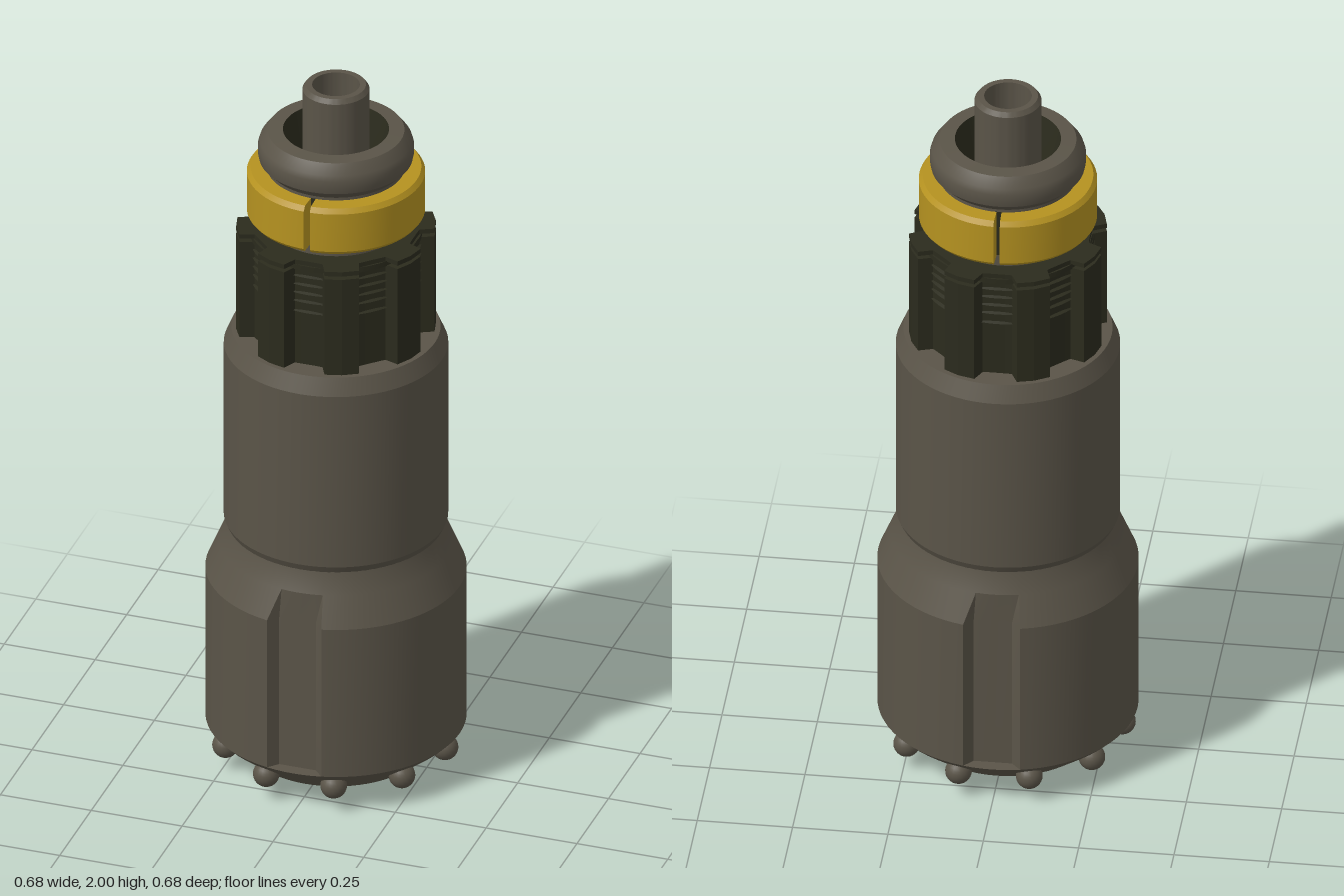
import * as THREE from 'three';
import { toCreasedNormals } from 'three/addons/utils/BufferGeometryUtils.js';

const steel = new THREE.MeshStandardMaterial({ color: 0x5a5448 });
steel.name = 'warm grey steel';
const dark = new THREE.MeshStandardMaterial({ color: 0x2b2b1d });
dark.name = 'dark olive steel';
const yellow = new THREE.MeshStandardMaterial({ color: 0xb59220, side: THREE.DoubleSide });
yellow.name = 'yellow ring';

const DEG = Math.PI / 180;

function range(from, to, steps) {
  return Array.from({ length: steps + 1 }, (_, i) => from + (to - from) * i / steps);
}
const fullTurn = range(0, Math.PI * 2, 72);

// Sweep an [r, y] profile (outside listed upwards) through a list of angles
function turn(profile, angles = fullTurn, rule = null) {
  const pos = [], index = [], m = profile.length;
  angles.forEach((a, i) => profile.forEach(([r, y, cut], j) => {
    const p = new THREE.Vector3(r * Math.sin(a), y, r * Math.cos(a));
    if (rule) rule(p, a, cut);
    pos.push(p.x, p.y, p.z);
    if (i < angles.length - 1 && j < m - 1) {
      const v = i * m + j, w = v + m;
      index.push(v, w, w + 1, v, w + 1, v + 1);
    }
  }));
  const geo = new THREE.BufferGeometry();
  geo.setAttribute('position', new THREE.Float32BufferAttribute(pos, 3));
  geo.setIndex(index);
  return toCreasedNormals(geo, 20 * DEG);
}

export function createModel() {
  const model = new THREE.Group();
  model.name = 'drillHammer';
  const add = (name, geo, mat, parent = model) => {
    const mesh = new THREE.Mesh(geo, mat);
    mesh.name = name;
    parent.add(mesh);
    return mesh;
  };

  // Bit head with a flat-bottomed chip groove at the front and back
  const inner = 8.5 * DEG, outer = 12.7 * DEG, floor = 0.305;
  const half = [
    ...range(-outer, -inner, 1), ...range(-inner, inner, 4).slice(1),
    ...range(outer, Math.PI - outer, 30),
  ];
  const headAngles = [...half, ...half.map(a => a + Math.PI), Math.PI * 2 - outer];
  const groove = (p, a, cut) => {
    const off = Math.abs(Math.asin(Math.sin(a)));
    if (cut && off < inner + 0.001) p.z = Math.sign(p.z) * Math.min(Math.abs(p.z), floor);
  };
  add('bitHead', turn([
    [0.092, 0.035], [0.24, 0.035], [0.32, 0.1], [0.34, 0.12], [0.34, 0.12, true],
    [0.34, 0.56, true], [0.305, 0.643, true], [0.285, 0.69], [0.28, 0.72],
  ], headAngles, groove), steel);

  // Round buttons on the cutting face: ten on the chamfer, six on the flat
  const buttons = new THREE.Group();
  buttons.name = 'cuttingButtons';
  model.add(buttons);
  const ball = new THREE.SphereGeometry(0.035, 20, 14);
  const buttonRing = (name, count, radius, y, start) => {
    for (let i = 0; i < count; i++) {
      const a = start + i * Math.PI * 2 / count;
      add(name, ball, steel, buttons).position.set(radius * Math.sin(a), y, radius * Math.cos(a));
    }
  };
  buttonRing('outerButton', 10, 0.3, 0.073, 18 * DEG);
  buttonRing('innerButton', 6, 0.165, 0.037, 0);

  // Chuck sleeve
  add('sleeve', turn([
    [0.26, 0.7], [0.283, 0.7], [0.292, 0.72], [0.292, 1.23], [0.272, 1.277], [0.2, 1.277],
  ]), steel);

  // Splined shaft: eight teeth
  const spline = new THREE.Shape();
  const hole = new THREE.Path().absarc(0, 0, 0.15, 0, Math.PI * 2, true);
  const corners = [];
  for (let k = 0; k < 8; k++) {
    const c = (22.5 + 45 * k) * DEG;
    for (const [deg, r] of [[-17, 0.217], [-12.5, 0.22], [-10, 0.258], [0, 0.26], [10, 0.258], [12.5, 0.22], [17, 0.217]]) {
      corners.push(new THREE.Vector2(r * Math.cos(c + deg * DEG), r * Math.sin(c + deg * DEG)));
    }
  }
  spline.setFromPoints(corners);
  spline.holes.push(hole);
  const splineSlice = (name, bottom, top) => {
    const geo = new THREE.ExtrudeGeometry(spline, { depth: top - bottom, bevelEnabled: false, curveSegments: 32 });
    geo.rotateX(-Math.PI / 2).translate(0, bottom, 0);
    add(name, geo, dark);
  };
  splineSlice('splineShaft', 1.25, 1.562);
  splineSlice('splineEndPlate', 1.572, 1.585);
  add('splineNeck', turn([[0.225, 1.56], [0.225, 1.575]]), dark);

  // Fine ridges between the teeth
  for (const y of [1.435, 1.465, 1.49, 1.515, 1.54]) {
    add('ridge', turn([[0.215, y - 0.004], [0.225, y], [0.215, y + 0.004]]), dark);
  }

  // Neck and rounded collar
  add('neck', turn([[0.175, 1.55], [0.175, 1.77]]), steel);
  add('collar', turn([
    [0.17, 1.757], [0.178, 1.762], [0.2, 1.785], [0.203, 1.8], [0.203, 1.822],
    [0.198, 1.838], [0.178, 1.865], [0.138, 1.867],
  ]), steel);

  // Split ring made of two halves
  const ringProfile = [
    [0.18, 1.62], [0.224, 1.62], [0.232, 1.63], [0.232, 1.742], [0.222, 1.755], [0.18, 1.755], [0.18, 1.62],
  ];
  const capShape = new THREE.Shape(ringProfile.map(([r, y]) => new THREE.Vector2(r, y)));
  for (const side of [0, Math.PI]) {
    const from = side + 0.036, to = side + Math.PI - 0.036;
    add('splitRingHalf', turn(ringProfile, range(from, to, 40)), yellow);
    for (const a of [from, to]) {
      add('splitRingEnd', new THREE.ShapeGeometry(capShape).rotateY(a - Math.PI / 2), yellow);
    }
  }
  // Dark gap behind each split
  for (const a of [0, Math.PI]) {
    add('splitGap', turn([[0.179, 1.62], [0.179, 1.755]], range(a - 0.05, a + 0.05, 4)), dark);
  }

  // Flared top opening and bore right through
  add('bore', turn([[0.138, 1.867], [0.092, 1.6], [0.092, 0.035]]), dark);

  // Feed tube
  add('feedTube', turn([
    [0.062, 1.4], [0.087, 1.4], [0.087, 1.988], [0.078, 2], [0.062, 2], [0.062, 1.4],
  ]), steel);

  return model;
}
